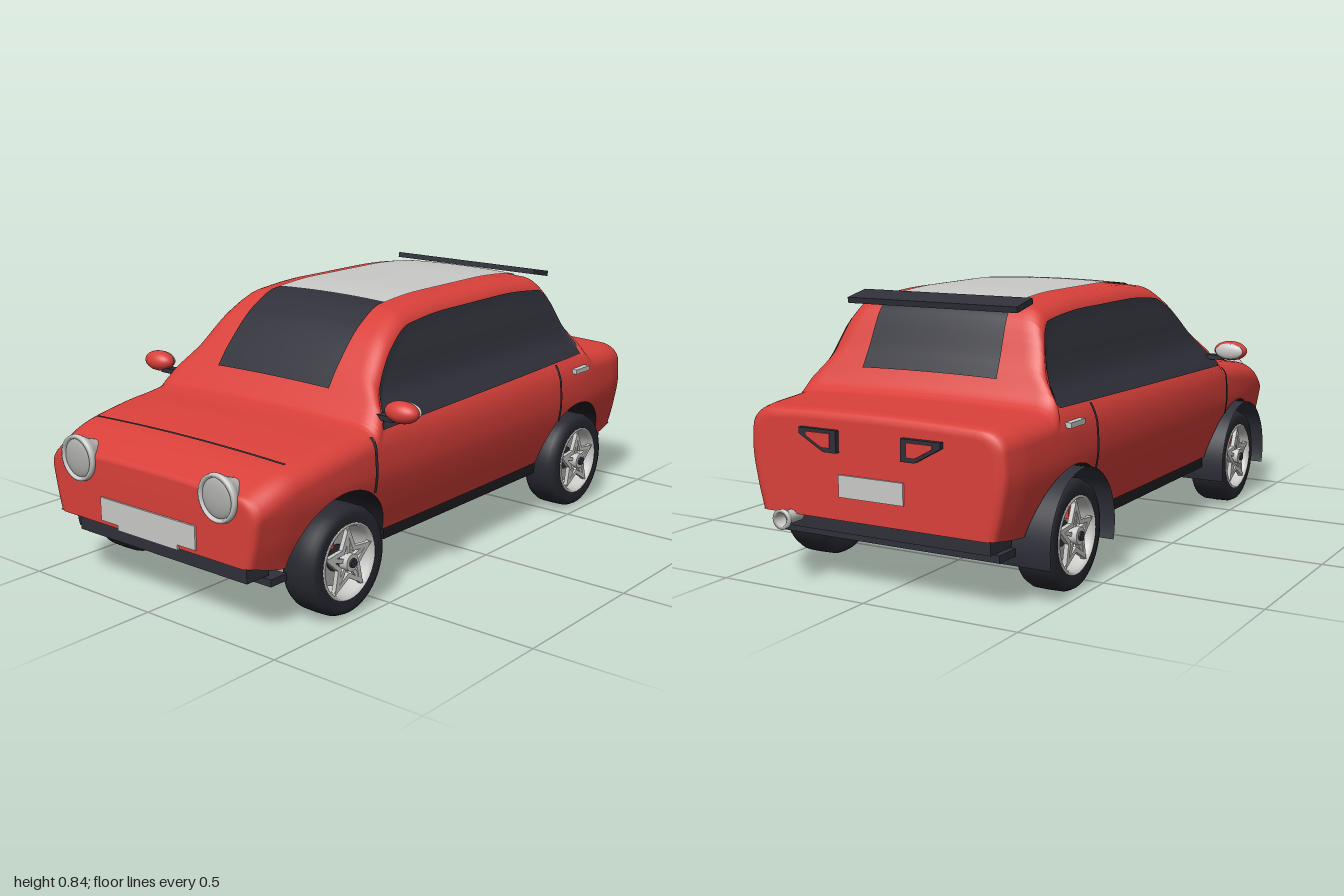
import * as THREE from 'three';

const mat = (name, color, side = THREE.FrontSide) => {
  const m = new THREE.MeshStandardMaterial({ color, side });
  m.name = name;
  return m;
};
const RED = mat('body red', 0xd9403a);
const DARK = mat('dark trim', 0x2f3039, THREE.DoubleSide);
const BLACK = mat('underbody black', 0x1d1d21, THREE.DoubleSide);
const TYRE = mat('tyre rubber', 0x282931);
const LIGHT = mat('light grey', 0xc9c9c7, THREE.DoubleSide);
const LENS = mat('lens grey', 0xacacaa);

// Smooth interpolation through [position, value] pairs sorted by position
function curve(pts) {
  const n = pts.length, d = [], m = [];
  for (let i = 0; i < n - 1; i++) d.push((pts[i + 1][1] - pts[i][1]) / (pts[i + 1][0] - pts[i][0]));
  for (let i = 0; i < n; i++) {
    const a = d[Math.max(i - 1, 0)], b = d[Math.min(i, n - 2)];
    m.push(a * b > 0 ? (2 * a * b) / (a + b) : 0);
  }
  return (x) => {
    x = Math.min(Math.max(x, pts[0][0]), pts[n - 1][0]);
    let i = 0;
    while (i < n - 2 && x > pts[i + 1][0]) i++;
    const h = pts[i + 1][0] - pts[i][0], t = (x - pts[i][0]) / h, t2 = t * t, t3 = t2 * t;
    return (2 * t3 - 3 * t2 + 1) * pts[i][1] + (t3 - 2 * t2 + t) * h * m[i]
      + (3 * t2 - 2 * t3) * pts[i + 1][1] + (t3 - t2) * h * m[i + 1];
  };
}

// Body shape: roof line, half width by height, taper by length, bottom edge with arches
const top = curve([[-0.95, 0.505], [-0.93, 0.528], [-0.72, 0.54], [-0.69, 0.556], [-0.635, 0.652], [-0.57, 0.786],
  [-0.53, 0.816], [-0.29, 0.832], [0, 0.832], [0.2, 0.818], [0.3, 0.77], [0.41, 0.663], [0.48, 0.57], [0.52, 0.533],
  [0.68, 0.513], [0.84, 0.487], [0.98, 0.433]]);
const halfWidth = curve([[0.2, 0.425], [0.3, 0.452], [0.4, 0.468], [0.47, 0.464], [0.52, 0.447], [0.56, 0.415],
  [0.6, 0.385], [0.7, 0.35], [0.8, 0.315]]);
const taper = curve([[-0.95, 0.915], [-0.85, 0.96], [-0.6, 0.995], [0, 1], [0.6, 0.995], [0.85, 0.965], [0.98, 0.915]]);
const floorY = curve([[-0.95, 0.215], [-0.8, 0.2], [0.85, 0.195], [0.98, 0.225]]);
const WHEEL_Z = [0.645, -0.605], WHEEL_Y = 0.165, ARCH = 0.208, R = 0.06, CROWN = 0.008;

const bottom = (z) => WHEEL_Z.reduce((y, c) => {
  const k = ARCH * ARCH - (z - c) ** 2;
  return k > 0 ? Math.max(y, WHEEL_Y + Math.sqrt(k)) : y;
}, floorY(z));
const cornerY = (z) => top(z) - CROWN - R;
const cornerX = (z) => halfWidth(cornerY(z)) * taper(z);
const sideX = (z, y) => {
  const yc = cornerY(z);
  if (y < yc) return halfWidth(y) * taper(z);
  const k = Math.min((y - yc) / R, 1);
  return cornerX(z) - R * 1.25 * (1 - Math.sqrt(1 - k * k));
};
const topY = (z, x) => top(z) - CROWN * (x / (cornerX(z) - R * 1.25)) ** 2;

// Cross-section from the -x sill over the roof to the +x sill
function section(z) {
  const half = [], yb = bottom(z), yc = cornerY(z);
  for (let i = 0; i < 14; i++) { const y = yb + (yc - yb) * i / 14; half.push([sideX(z, y), y]); }
  for (let i = 0; i <= 8; i++) {
    const a = i / 8 * Math.PI / 2;
    half.push([cornerX(z) - R * 1.25 * (1 - Math.cos(a)), yc + R * Math.sin(a)]);
  }
  const xe = half[half.length - 1][0];
  for (let i = 1; i < 6; i++) { const x = xe * (1 - i / 6); half.push([x, topY(z, x)]); }
  return [...half.map(([x, y]) => [-x, y]), [0, top(z)], ...half.slice().reverse()];
}

// Surface over a grid of points; it faces (row direction) x (column direction)
function sheetFromRows(rows) {
  const w = rows[0].length, idx = [];
  for (let i = 0; i < rows.length - 1; i++) for (let j = 0; j < w - 1; j++) {
    const a = i * w + j, b = a + w;
    idx.push(a, b, a + 1, b, b + 1, a + 1);
  }
  const g = new THREE.BufferGeometry();
  g.setAttribute('position', new THREE.Float32BufferAttribute(rows.flat(2), 3));
  g.setIndex(idx);
  g.computeVertexNormals();
  return g;
}
function sheet(nu, nv, fn) {
  const rows = [];
  for (let i = 0; i <= nu; i++) {
    rows.push([]);
    for (let j = 0; j <= nv; j++) rows[i].push(fn(i / nu, j / nv));
  }
  return sheetFromRows(rows);
}
const lerp = THREE.MathUtils.lerp;

export function createModel() {
  const car = new THREE.Group();
  car.name = 'car';
  const add = (name, geo, material, pos = [0, 0, 0], parent = car) => {
    const m = new THREE.Mesh(geo, material);
    m.name = name;
    m.position.set(...pos);
    parent.add(m);
    return m;
  };
  const box = (name, material, x, y, z, w, h, d, parent) =>
    add(name, new THREE.BoxGeometry(w, h, d), material, [x, y, z], parent);

  // Body shell with rounded, closed nose and tail
  const zs = [];
  for (let i = 0; i <= 190; i++) zs.push(lerp(-0.935, 0.97, i / 190));
  for (const c of WHEEL_Z) for (let i = 0; i <= 40; i++) zs.push(c + ARCH * Math.cos(lerp(0.14, Math.PI - 0.14, i / 40)));
  zs.sort((a, b) => a - b);
  const cap = (z0, z, s) => section(z0).map(([x, y]) => [x * s, bottom(z0) + (y - bottom(z0)) * s, z]);
  const nose = [[0.979, 0.985], [0.984, 0.95], [0.985, 0.92], [0.985, 0.5], [0.985, 0]];
  const tail = [[-0.95, 0], [-0.95, 0.5], [-0.95, 0.92], [-0.949, 0.95], [-0.944, 0.985]];
  add('bodyShell', sheetFromRows([
    ...tail.map(([z, s]) => cap(-0.935, z, s)),
    ...zs.map((z) => section(z).map(([x, y]) => [x, y, z])),
    ...nose.map(([z, s]) => cap(0.97, z, s)),
  ]), RED);
  const floorZ = [-0.949, ...zs, 0.984];
  add('underbody', sheetFromRows(floorZ.map((z) => {
    const x = sideX(z, bottom(z)), y = bottom(z);
    return [[x, y, z], [0, y, z], [-x, y, z]];
  })), BLACK);

  // Panels lying on the roof and screens
  const roofPanel = (name, material, z0, z1, w0, w1) => add(name, sheet(50, 12, (u, v) => {
    const z = lerp(z0, z1, u), x = lerp(-1, 1, v) * lerp(w0, w1, u);
    const slope = (top(z + 0.005) - top(z - 0.005)) / 0.01;
    return [x, topY(z, x) + 0.004 * Math.hypot(1, slope), z];
  }), material);
  roofPanel('rearWindow', DARK, -0.66, -0.555, 0.235, 0.22);
  roofPanel('roofPanel', LIGHT, -0.555, 0.175, 0.22, 0.22);
  roofPanel('windscreen', DARK, 0.175, 0.458, 0.218, 0.232);
  roofPanel('bonnetSeam', DARK, 0.822, 0.83, 0.39, 0.39);

  // Underside trim
  box('floorPan', BLACK, 0, 0.18, 0.015, 0.84, 0.04, 0.83);
  box('frontLip', DARK, 0, 0.188, 0.9, 0.7, 0.055, 0.09);
  box('frontSplitter', DARK, 0, 0.147, 0.843, 0.75, 0.022, 0.065);
  box('rearValance', DARK, 0, 0.19, -0.865, 0.74, 0.045, 0.11);
  box('rearDiffuser', DARK, 0, 0.152, -0.83, 0.76, 0.022, 0.12);

  // Arch liners reach past the body on one side only
  for (const zc of WHEEL_Z) add('archLiner', sheet(40, 1, (u, v) => {
    const a = lerp(-0.28, Math.PI + 0.28, u);
    return [lerp(-0.49, -0.215, v), WHEEL_Y + 0.2 * Math.sin(a), zc + 0.2 * Math.cos(a)];
  }), DARK);

  // Number plates and exhaust
  box('frontPlate', LIGHT, 0, 0.272, 0.987, 0.395, 0.072, 0.008);
  box('frontPlateHolder', LIGHT, 0, 0.228, 0.987, 0.25, 0.016, 0.008);
  box('rearPlate', LIGHT, 0, 0.315, -0.952, 0.22, 0.065, 0.008);
  const pipe = [[0.014, -0.06], [0.02, -0.06], [0.02, 0.04], [0.03, 0.06], [0.03, 0.07], [0.02, 0.07], [0.014, 0]];
  add('exhaust', new THREE.LatheGeometry(pipe.map((p) => new THREE.Vector2(...p)), 24), LIGHT, [0.285, 0.205, -0.93])
    .rotation.x = -Math.PI / 2;

  // Roof spoiler
  box('spoiler', DARK, 0, 0.815, -0.6, 0.59, 0.018, 0.092).rotation.x = -0.2;

  const bucket = [[0.04, -0.06], [0.052, -0.025], [0.066, 0], [0.072, 0.012], [0.07, 0.022], [0.062, 0.026], [0.058, 0.015]];
  const wedge = (k, s) => {
    const shape = new THREE.Shape([[-0.065, -0.035], [-0.065, 0.03], [0.065, 0.03], [0.065, 0.012], [-0.02, -0.035]]
      .map(([x, y]) => new THREE.Vector2(x * k * s, y * k)));
    return new THREE.ExtrudeGeometry(shape, { depth: 0.022, bevelEnabled: false });
  };

  for (const s of [1, -1]) {
    // Side window and door seams
    const sidePatch = (name, z0, z1, y0, y1) => add(name, sheet(70, 14, (u, v) => {
      const z = s > 0 ? lerp(z1, z0, u) : lerp(z0, z1, u), y = lerp(y0(z), y1(z), v);
      return [s * (sideX(z, y) + 0.004), y, z];
    }), DARK);
    const sill = (z) => 0.525 - 0.02 * z;
    sidePatch('sideWindow', -0.65, 0.475, sill, (z) => Math.max(sill(z), Math.min(0.795, top(z) - 0.048)));
    sidePatch('frontDoorSeam', 0.517, 0.529, () => 0.34, () => 0.505);
    sidePatch('rearDoorSeam', -0.484, -0.472, () => 0.335, () => 0.53);
    box('doorHandle', LIGHT, s * 0.46, 0.492, -0.61, 0.026, 0.016, 0.085);

    // Headlight
    const lamp = new THREE.Group();
    lamp.name = 'headlight';
    lamp.position.set(s * 0.29, 0.41, 0.974);
    car.add(lamp);
    add('lampRim', new THREE.LatheGeometry(bucket.map((p) => new THREE.Vector2(...p)), 36), LIGHT, [0, 0, 0], lamp)
      .rotation.x = Math.PI / 2;
    add('lampLens', new THREE.SphereGeometry(0.06, 32, 20), LENS, [0, 0, 0.012], lamp).scale.z = 0.25;

    // Tail light: dark frame with a red lens
    add('tailLightFrame', wedge(1, s), DARK, [s * 0.175, 0.445, -0.965]);
    add('tailLightLens', wedge(0.65, s), RED, [s * 0.172, 0.446, -0.968]);

    // Door mirror
    add('mirrorShell', new THREE.SphereGeometry(1, 28, 18), RED, [s * 0.507, 0.575, 0.456]).scale.set(0.058, 0.033, 0.036);
    add('mirrorGlass', new THREE.SphereGeometry(1, 24, 12), LIGHT, [s * 0.51, 0.575, 0.432]).scale.set(0.05, 0.027, 0.014);
    box('mirrorArm', DARK, s * 0.445, 0.55, 0.455, 0.08, 0.016, 0.03);

    for (const z of WHEEL_Z) car.add(makeWheel(s, z, add));
  }
  return car;
}

// Wheel built with its axle on z, outer face towards +z, then turned to its side
function makeWheel(s, z, add) {
  const wheel = new THREE.Group();
  wheel.name = 'wheel';
  wheel.position.set(s * 0.408, WHEEL_Y, z);
  wheel.rotation.y = s * Math.PI / 2;
  const lathe = (name, pts, material) => add(name,
    new THREE.LatheGeometry(pts.map((p) => new THREE.Vector2(...p)), 48), material, [0, 0, 0], wheel).rotation.x = Math.PI / 2;
  lathe('tyre', [[0.112, -0.058], [0.14, -0.062], [0.157, -0.055], [0.164, -0.04], [0.165, 0], [0.164, 0.04],
    [0.157, 0.055], [0.14, 0.062], [0.112, 0.058]], TYRE);
  lathe('rimBarrel', [[0.113, -0.058], [0.106, -0.055], [0.1, 0], [0.104, 0.05], [0.11, 0.064], [0.116, 0.06]], LIGHT);

  // Star-shaped spokes with open centres
  const star = new THREE.Shape(), hole = new THREE.Path();
  for (let i = 0; i < 10; i++) {
    const a = Math.PI / 2 + i * Math.PI / 5, r = i % 2 ? 0.05 : 0.106, q = i % 2 ? 0.034 : 0.074;
    star[i ? 'lineTo' : 'moveTo'](r * Math.cos(a), r * Math.sin(a));
    hole[i ? 'lineTo' : 'moveTo'](q * Math.cos(a), q * Math.sin(a));
  }
  star.holes.push(hole);
  add('starSpokes', new THREE.ExtrudeGeometry(star, { depth: 0.014, bevelEnabled: false }), LIGHT, [0, 0, 0.044], wheel);
  for (let i = 0; i < 5; i++) {
    const a = Math.PI / 2 + i * Math.PI * 2 / 5;
    const spoke = add('spoke', new THREE.BoxGeometry(0.09, 0.012, 0.012), LIGHT,
      [0.055 * Math.cos(a), 0.055 * Math.sin(a), 0.05], wheel);
    spoke.rotation.z = a;
  }
  const disc = (name, r, d, zc, material) => {
    add(name, new THREE.CylinderGeometry(r, r, d, 32), material, [0, 0, zc], wheel).rotation.x = Math.PI / 2;
  };
  disc('hub', 0.026, 0.03, 0.056, LIGHT);
  disc('hubCap', 0.014, 0.01, 0.072, DARK);
  disc('brakeDisc', 0.085, 0.012, 0, LENS);
  disc('axleStub', 0.04, 0.06, -0.02, DARK);
  add('brakeCaliper', new THREE.BoxGeometry(0.045, 0.035, 0.04), RED, [-s * 0.045, 0.055, 0], wheel);
  return wheel;
}
